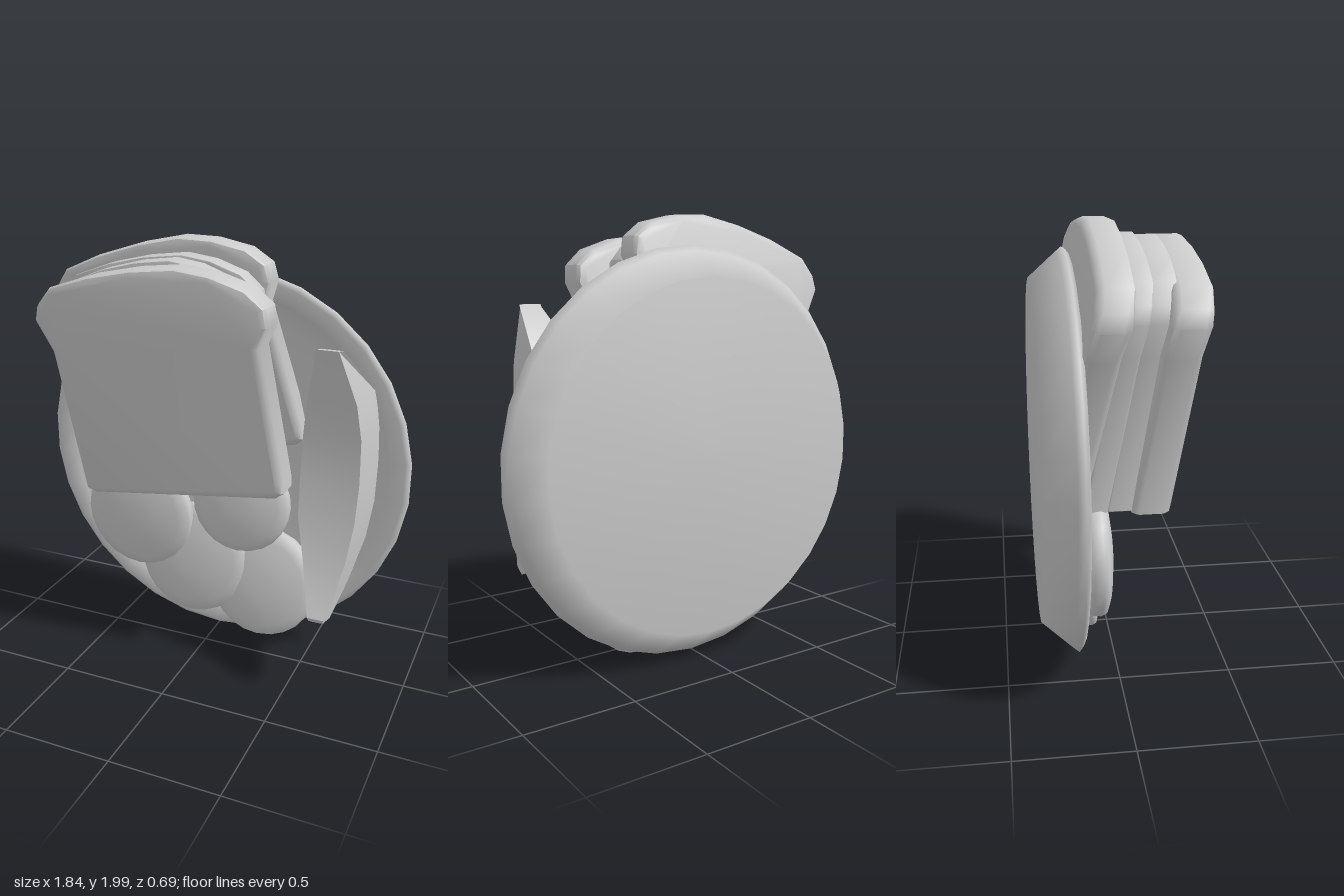
import * as THREE from 'three';
import { toCreasedNormals } from 'three/addons/utils/BufferGeometryUtils.js';

const material = new THREE.MeshStandardMaterial({ color: 0xcccccc });

function add(parent, name, geometry) {
  const mesh = new THREE.Mesh(geometry, material);
  mesh.name = name;
  parent.add(mesh);
  return mesh;
}

// Revolved shape whose axis points to the front (+z)
function disc(profile, segments) {
  const points = profile.map(([r, z]) => new THREE.Vector2(r, z));
  return new THREE.LatheGeometry(points, segments).rotateX(Math.PI / 2);
}

// Bread outline, tilted a little to one side
const breadOutline = [
  [-0.53, 0.82], [-0.48, 0.8], [0.4, 0.91], [0.44, 0.94], [0.44, 0.99],
  [0.35, 1.6], [0.39, 1.69], [0.38, 1.77], [0.3, 1.84], [0.15, 1.89], [0, 1.91],
  [-0.2, 1.89], [-0.4, 1.85], [-0.59, 1.79], [-0.66, 1.71], [-0.68, 1.64], [-0.61, 1.5],
];

// Leaning slab: z is the back of its top edge, lean the change of z per unit of height
function slab({ dx, dy, width, z, depth, lean, bevel }) {
  const shape = new THREE.Shape(breadOutline.map(([x, y]) => new THREE.Vector2(x * width + dx, y + dy)));
  const g = new THREE.ExtrudeGeometry(shape, {
    depth: depth - 2 * bevel, bevelThickness: bevel, bevelSize: bevel, bevelOffset: -bevel, bevelSegments: 2,
  });
  const p = g.attributes.position;
  for (let i = 0; i < p.count; i++) {
    const turn = -0.04 * (p.getX(i) + 0.15);
    p.setZ(i, p.getZ(i) + bevel + z + turn + lean * (p.getY(i) - 1.91 - dy));
  }
  return toCreasedNormals(g, 0.8);
}

// Spear skinned over cross-sections [y, left, right, front z, back z], from top to bottom
function spearGeometry(sections) {
  const n = 4, positions = [], index = [];
  for (const [y, l, r, f, b] of sections) {
    positions.push(l, y, f, r - 0.015, y, f, r, y, b, l + 0.015, y, b);
  }
  for (let i = 0; i < sections.length - 1; i++) {
    for (let k = 0; k < n; k++) {
      const a = i * n + k, b = i * n + (k + 1) % n;
      index.push(a, a + n, b + n, a, b + n, b);
    }
  }
  const last = (sections.length - 1) * n;
  index.push(0, 1, 2, 0, 2, 3, last, last + 2, last + 1, last, last + 3, last + 2);
  const g = new THREE.BufferGeometry();
  g.setAttribute('position', new THREE.Float32BufferAttribute(positions, 3));
  g.setIndex(index);
  return toCreasedNormals(g, 0.7);
}

export function createModel() {
  const model = new THREE.Group();
  model.name = 'sandwichPlate';

  // Plate standing on its edge, dish side to the front
  add(model, 'plate', disc([
    [0, -0.345], [0.79, -0.34], [0.9, -0.215], [0.925, -0.185], [0.9, -0.165],
    [0.82, -0.18], [0.7, -0.25], [0, -0.26],
  ], 30)).position.y = 0.93;

  // Sandwich: two slices of bread with two narrower layers of filling between them
  const sandwich = new THREE.Group();
  sandwich.name = 'sandwich';
  model.add(sandwich);
  const backBread = add(sandwich, 'backBread',
    slab({ dx: -0.1, dy: 0.09, width: 1, z: -0.12, depth: 0.15, lean: 0.19, bevel: 0.03 }).translate(0.23, -1.45, 0));
  backBread.position.set(-0.2, 1.43, 0);
  backBread.rotation.z = 0.1;
  add(sandwich, 'backFilling', slab({ dx: -0.07, dy: 0.02, width: 0.88, z: 0.01, depth: 0.1, lean: 0.17, bevel: 0.01 }));
  add(sandwich, 'frontFilling', slab({ dx: -0.08, dy: 0.01, width: 0.8, z: 0.09, depth: 0.12, lean: 0.15, bevel: 0.01 }));
  add(sandwich, 'frontBread', slab({ dx: 0, dy: 0, width: 1, z: 0.18, depth: 0.165, lean: 0.14, bevel: 0.03 }));

  // Overlapping crisps: x, y, z, radius, tilt
  const crisps = [
    [-0.4, 0.6, -0.08, 0.285, 0],
    [0.14, 0.74, -0.09, 0.245, -0.08],
    [-0.12, 0.385, -0.12, 0.285, -0.12],
    [0.24, 0.31, -0.145, 0.275, -0.18],
  ];
  for (const [x, y, z, r, tilt] of crisps) {
    const crisp = add(model, 'crisp', disc([
      [0, -0.08], [0.88 * r, -0.075], [0.98 * r, -0.05], [r, -0.01], [0.97 * r, 0.012],
      [0.8 * r, 0.03], [0.45 * r, 0.045], [0.2 * r, 0.05], [0, 0.05],
    ], 24));
    crisp.position.set(x, y, z);
    crisp.rotation.x = tilt;
  }

  // Pickle spear with both tips curving forward
  add(model, 'pickleSpear', spearGeometry([
    [1.6, 0.56, 0.67, 0.17, 0.15],
    [1.36, 0.51, 0.74, 0.1, -0.15],
    [1.2, 0.49, 0.76, 0.07, -0.2],
    [1.0, 0.485, 0.765, 0.075, -0.2],
    [0.82, 0.49, 0.76, 0.1, -0.2],
    [0.65, 0.53, 0.74, 0.14, -0.16],
    [0.5, 0.57, 0.71, 0.2, 0],
    [0.41, 0.595, 0.685, 0.25, 0.13],
    [0.39, 0.6, 0.68, 0.24, 0.18],
  ]));

  return model;
}
